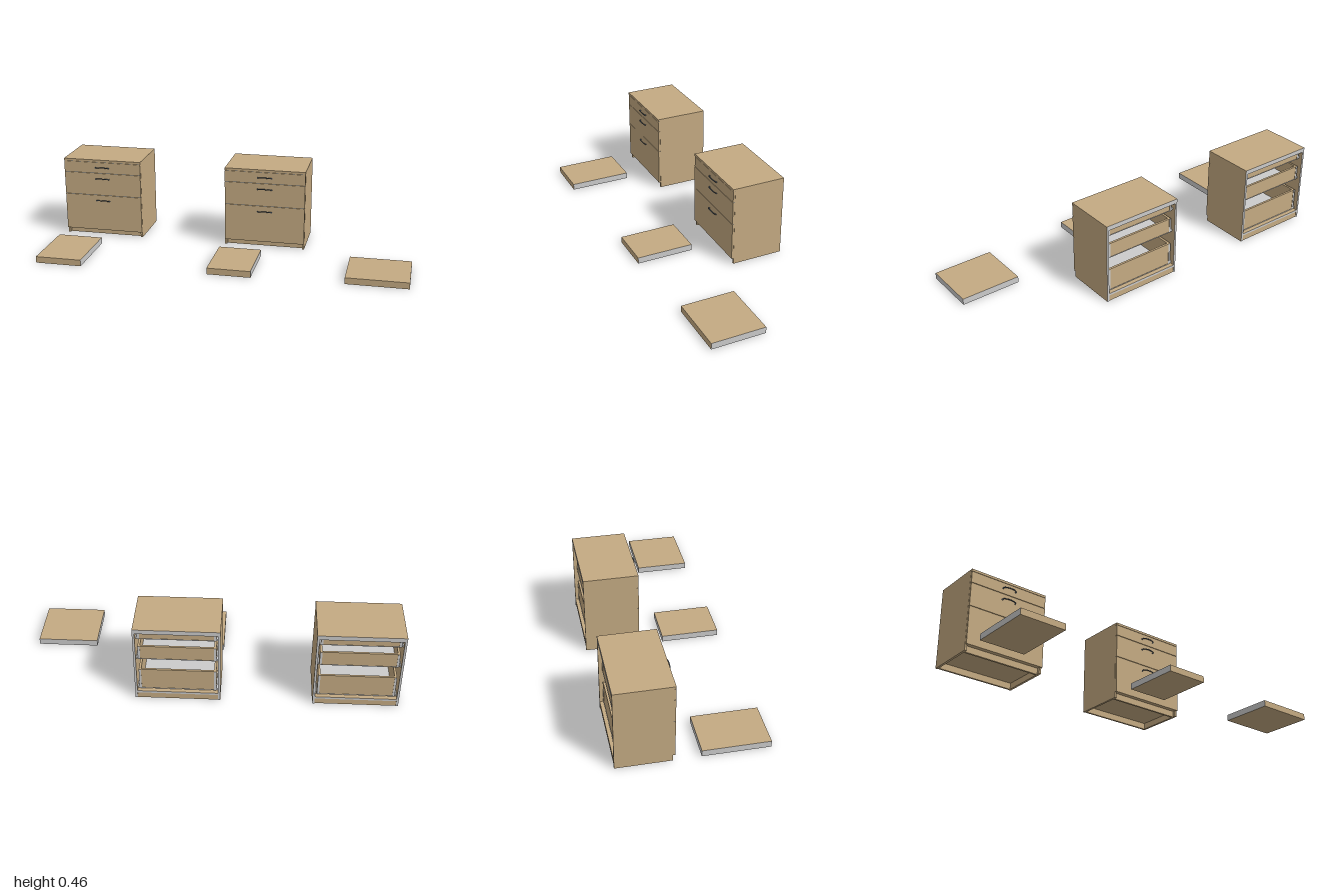
import * as THREE from 'three';

const mat = (name, color) => {
  const m = new THREE.MeshStandardMaterial({ color });
  m.name = name;
  return m;
};

export function createModel() {
  const wood = mat('wood', 0xc4aa82);
  const raw = mat('rawEdge', 0xcbcbcb);
  const steel = mat('darkSteel', 0x5a6672);
  const model = new THREE.Group();

  // Board between two corners; faces named in "bare" get the raw edge colour
  const FACES = ['+x', '-x', '+y', '-y', '+z', '-z'];
  function panel(parent, name, [x0, x1], [y0, y1], [z0, z1], bare = [], base = wood) {
    const geo = new THREE.BoxGeometry(x1 - x0, y1 - y0, z1 - z0);
    const mesh = new THREE.Mesh(geo, FACES.map((f) => (bare.includes(f) ? raw : base)));
    mesh.name = name;
    mesh.position.set((x0 + x1) / 2, (y0 + y1) / 2, (z0 + z1) / 2);
    parent.add(mesh);
    return mesh;
  }

  // Bow handle with two small feet
  function handle(parent, y) {
    const g = new THREE.Group();
    g.name = 'handle';
    const path = new THREE.CatmullRomCurve3([
      [-0.04, -0.003, 0], [-0.034, 0, 0.009], [-0.015, 0.002, 0.013],
      [0.015, 0.002, 0.013], [0.034, 0, 0.009], [0.04, -0.003, 0],
    ].map((p) => new THREE.Vector3(...p)));
    const bar = new THREE.Mesh(new THREE.TubeGeometry(path, 24, 0.0028, 8), steel);
    bar.name = 'handleBar';
    g.add(bar);
    for (const s of [-1, 1]) {
      const foot = new THREE.Mesh(new THREE.CylinderGeometry(0.0045, 0.0045, 0.003, 12), steel);
      foot.name = 'handleFoot';
      foot.rotation.x = Math.PI / 2;
      foot.position.set(s * 0.039, -0.003, 0.001);
      g.add(foot);
    }
    g.position.set(0, y, -0.091);
    parent.add(g);
  }

  const W = 0.227; // half width of a cabinet
  const T = 0.012; // panel thickness
  const BACK = -0.39;
  const FRONT = -0.102;

  // Front range, box range and handle height of each drawer
  const drawers = [
    { front: [0.033, 0.243], box: [0.055, 0.18], grip: 0.213 },
    { front: [0.246, 0.375], box: [0.255, 0.335], grip: 0.344 },
    { front: [0.378, 0.44], box: [0.387, 0.422], grip: 0.411 },
  ];

  function cabinet(cx) {
    const c = new THREE.Group();
    c.name = 'cabinet';
    const inner = [-W + T, W - T];

    // Carcass
    panel(c, 'top', [-W, W], [0.442, 0.455], [BACK, -0.091], ['-z']);
    for (const s of [-1, 1]) {
      const xs = s < 0 ? [-W, -W + T] : [W - T, W];
      panel(c, 'side', xs, [0, 0.442], [BACK, FRONT], ['-z']);
    }
    panel(c, 'floor', inner, [0.035, 0.047], [BACK, FRONT], ['-z']);
    panel(c, 'frontPlinth', inner, [0, 0.035], [-0.132, -0.12]);
    panel(c, 'backPlinth', inner, [0, 0.035], [BACK + 0.003, BACK + 0.015]);
    panel(c, 'frontStretcher', inner, [0.43, 0.442], [-0.16, FRONT]);
    panel(c, 'backStretcher', inner, [0.43, 0.442], [BACK, -0.335], ['-z']);

    // Drawers: front, open box, bottom, shadow strip and handle
    for (const { front, box, grip } of drawers) {
      const d = new THREE.Group();
      d.name = 'drawer';
      const half = W - T - 0.01;
      const depth = [-0.372, FRONT];
      panel(d, 'drawerFront', [-W + 0.001, W - 0.001], front, [FRONT, -0.091]);
      panel(d, 'drawerStrip', [-W + 0.002, W - 0.002], [front[1], front[1] + 0.002],
        [FRONT, -0.095], [], steel);
      for (const s of [-1, 1]) {
        const xs = s < 0 ? [-half, -half + T] : [half - T, half];
        panel(d, 'drawerSide', xs, box, depth, ['-z']);
        const rail = s < 0 ? [-half - 0.009, -half - 0.001] : [half + 0.001, half + 0.009];
        panel(d, 'runner', rail, [box[0], box[0] + 0.01], depth, [], raw);
      }
      panel(d, 'drawerBack', [-half + T, half - T], box, [-0.37, -0.358]);
      panel(d, 'drawerBottom', [-half + 0.001, half - 0.001], [box[0] - 0.003, box[0]], depth, [], raw);
      handle(d, grip);
      c.add(d);
    }
    c.position.x = cx;
    model.add(c);
  }
  cabinet(-1 + W);
  cabinet(0.171);

  // Loose worktop boards with bare sides and back
  const boards = [
    [[-1, -0.746], [0.04, 0.39]],
    [[-0.058, 0.178], [0.04, 0.357]],
    [[0.668, 1], [0.04, 0.336]],
  ];
  for (const [xs, zs] of boards) panel(model, 'worktopBoard', xs, [0, 0.035], zs, ['+x', '-x', '-z']);

  return model;
}
